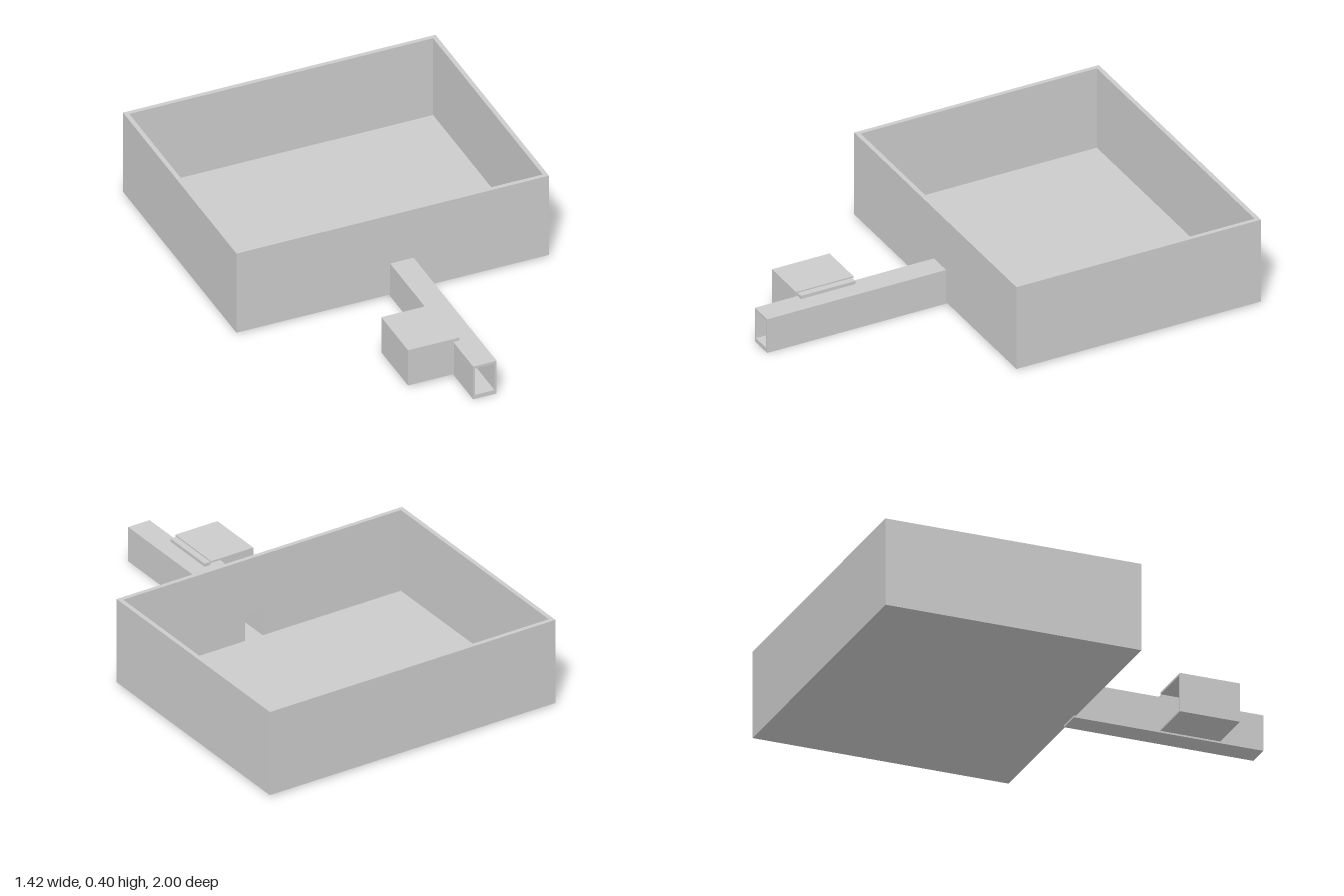
import * as THREE from 'three';

const material = new THREE.MeshStandardMaterial({ color: 0xcccccc, flatShading: true, side: THREE.DoubleSide });

// Box given by its lower and upper corners
function block(name, [x0, y0, z0], [x1, y1, z1]) {
  const mesh = new THREE.Mesh(new THREE.BoxGeometry(x1 - x0, y1 - y0, z1 - z0), material);
  mesh.position.set((x0 + x1) / 2, (y0 + y1) / 2, (z0 + z1) / 2);
  mesh.name = name;
  return mesh;
}

function trace(path, x0, y0, x1, y1) {
  path.moveTo(x0, y0);
  path.lineTo(x1, y0);
  path.lineTo(x1, y1);
  path.lineTo(x0, y1);
  path.closePath();
  return path;
}

// Rectangular frame (outer and inner x0, y0, x1, y1) extruded along z
function frame(name, outer, inner, z0, z1) {
  const shape = trace(new THREE.Shape(), ...outer);
  shape.holes.push(trace(new THREE.Path(), ...inner));
  const geometry = new THREE.ExtrudeGeometry(shape, { depth: z1 - z0, bevelEnabled: false });
  const mesh = new THREE.Mesh(geometry, material);
  mesh.position.z = z0;
  mesh.name = name;
  return mesh;
}

export function createModel() {
  const model = new THREE.Group();
  model.name = 'trayWithChannel';

  // Open tray with a doorway where the channel enters
  const W = 0.712, wall = 0.02, bottom = 0.008, top = 0.404, back = -1, front = 0.155;
  const bore = [-0.004, 0.02, 0.085, 0.151];
  const tray = new THREE.Group();
  tray.name = 'tray';
  tray.add(
    block('trayFloor', [-W + wall, bottom, back + wall], [W - wall, 0.02, front - wall]),
    block('trayBackWall', [-W, bottom, back], [W, top, back + wall]),
    frame('trayFrontWall', [-W, bottom, W, top], bore, front - wall, front)
  );
  for (const [side, x] of [['Left', W - wall], ['Right', -W]]) {
    tray.add(block('tray' + side + 'Wall', [x, bottom, back + wall], [x + wall, top, front - wall]));
  }
  model.add(tray);

  // Hollow rectangular channel
  model.add(frame('channel', [-0.012, 0, 0.095, 0.163], bore, 0.145, 1));

  // Side compartment: closed at the front, open towards the tray
  const x0 = -0.222, x1 = -0.012, y0 = 0.008, y1 = 0.184, z0 = 0.535, z1 = 0.806, t = 0.008;
  const compartment = new THREE.Group();
  compartment.name = 'sideCompartment';
  compartment.add(
    block('compartmentFloor', [x0, y0, z0], [x1, y0 + t, z1]),
    block('compartmentRoof', [x0, y1 - t, z0], [x1, y1, z1]),
    block('compartmentOuterWall', [x0, y0 + t, z0], [x0 + t, y1 - t, z1]),
    block('compartmentFrontWall', [x0 + t, y0 + t, z1 - t], [x1, y1 - t, z1]),
    // Lip resting on the channel
    block('compartmentLip', [x1, 0.163, z0 + 0.006], [0.017, 0.178, z1 - 0.008])
  );
  model.add(compartment);
  return model;
}
